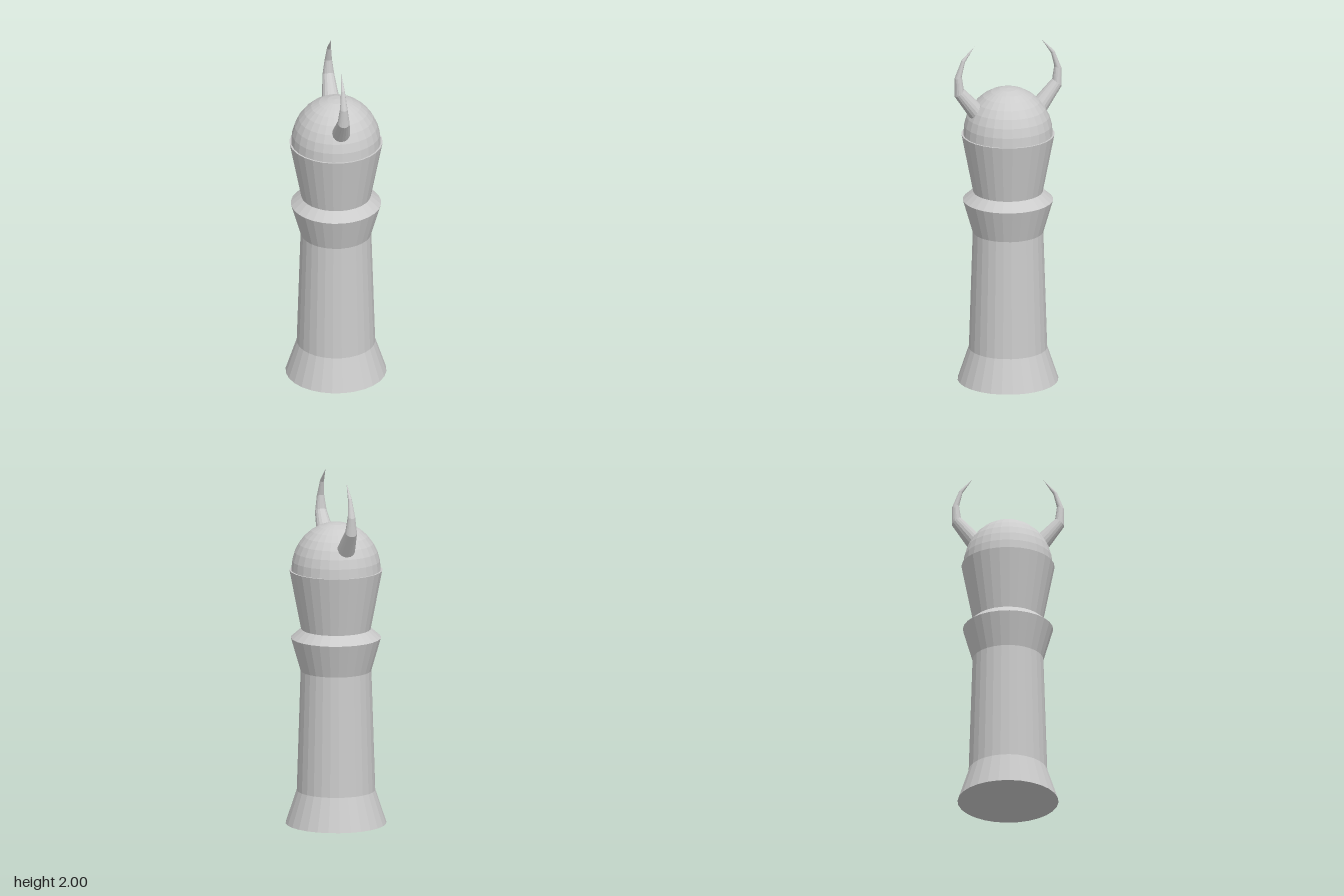
import * as THREE from 'three';

const SIDES = 28;
const material = new THREE.MeshStandardMaterial({ color: 0xcccccc, flatShading: true });

function lathe(name, points) {
  const profile = points.map(([r, y]) => new THREE.Vector2(r, y));
  const mesh = new THREE.Mesh(new THREE.LatheGeometry(profile, SIDES), material);
  mesh.name = name;
  return mesh;
}

// Each section: outer z, outer y, inner z, inner y of a round ring, from base to tip
const HORN_SECTIONS = [
  [0.222, 1.571, 0.17, 1.66],
  [0.317, 1.714, 0.265, 1.757],
  [0.317, 1.82, 0.276, 1.832],
  [0.275, 1.926, 0.257, 1.912],
  [0.2, 2.0, 0.2, 2.0],
];

function hornGeometry(sides = 16) {
  const positions = [];
  const index = [];
  for (const [oz, oy, iz, iy] of HORN_SECTIONS) {
    const cz = (oz + iz) / 2, cy = (oy + iy) / 2;
    const dz = oz - cz, dy = oy - cy;
    const r = Math.hypot(dz, dy);
    for (let j = 0; j < sides; j++) {
      const a = (j / sides) * Math.PI * 2;
      positions.push(r * Math.sin(a), cy + dy * Math.cos(a), cz + dz * Math.cos(a));
    }
  }
  // Side walls
  const last = HORN_SECTIONS.length - 2;
  for (let i = 0; i <= last; i++) {
    for (let j = 0; j < sides; j++) {
      const k = (j + 1) % sides;
      const a = i * sides + j, b = i * sides + k;
      index.push(a, b, b + sides);
      if (i < last) index.push(a, b + sides, a + sides);
    }
  }
  // Base cap
  for (let j = 1; j < sides - 1; j++) index.push(0, j + 1, j);
  const geometry = new THREE.BufferGeometry();
  geometry.setAttribute('position', new THREE.Float32BufferAttribute(positions, 3));
  geometry.setIndex(index);
  geometry.computeVertexNormals();
  return geometry;
}

export function createModel() {
  const model = new THREE.Group();
  model.name = 'hornedTower';

  // Flared foot, tapering shaft, collar and cup-shaped head
  model.add(lathe('foot', [[0, 0], [0.285, 0], [0.222, 0.19]]));
  model.add(lathe('shaft', [[0.222, 0.19], [0.2, 0.88]]));
  model.add(lathe('collar', [[0.2, 0.88], [0.255, 1.07], [0.197, 1.12]]));
  model.add(lathe('head', [[0.197, 1.12], [0.263, 1.46], [0.252, 1.46]]));

  // Domed cap
  const dome = [];
  for (let i = 0; i <= 8; i++) {
    const a = (i / 8) * Math.PI / 2;
    dome.push([i === 8 ? 0 : 0.253 * Math.cos(a), 1.46 + 0.273 * Math.sin(a)]);
  }
  model.add(lathe('dome', dome));

  // Front and back horns
  const geometry = hornGeometry();
  ['frontHorn', 'backHorn'].forEach((name, i) => {
    const horn = new THREE.Mesh(geometry, material);
    horn.name = name;
    horn.rotation.y = i * Math.PI;
    model.add(horn);
  });
  return model;
}
